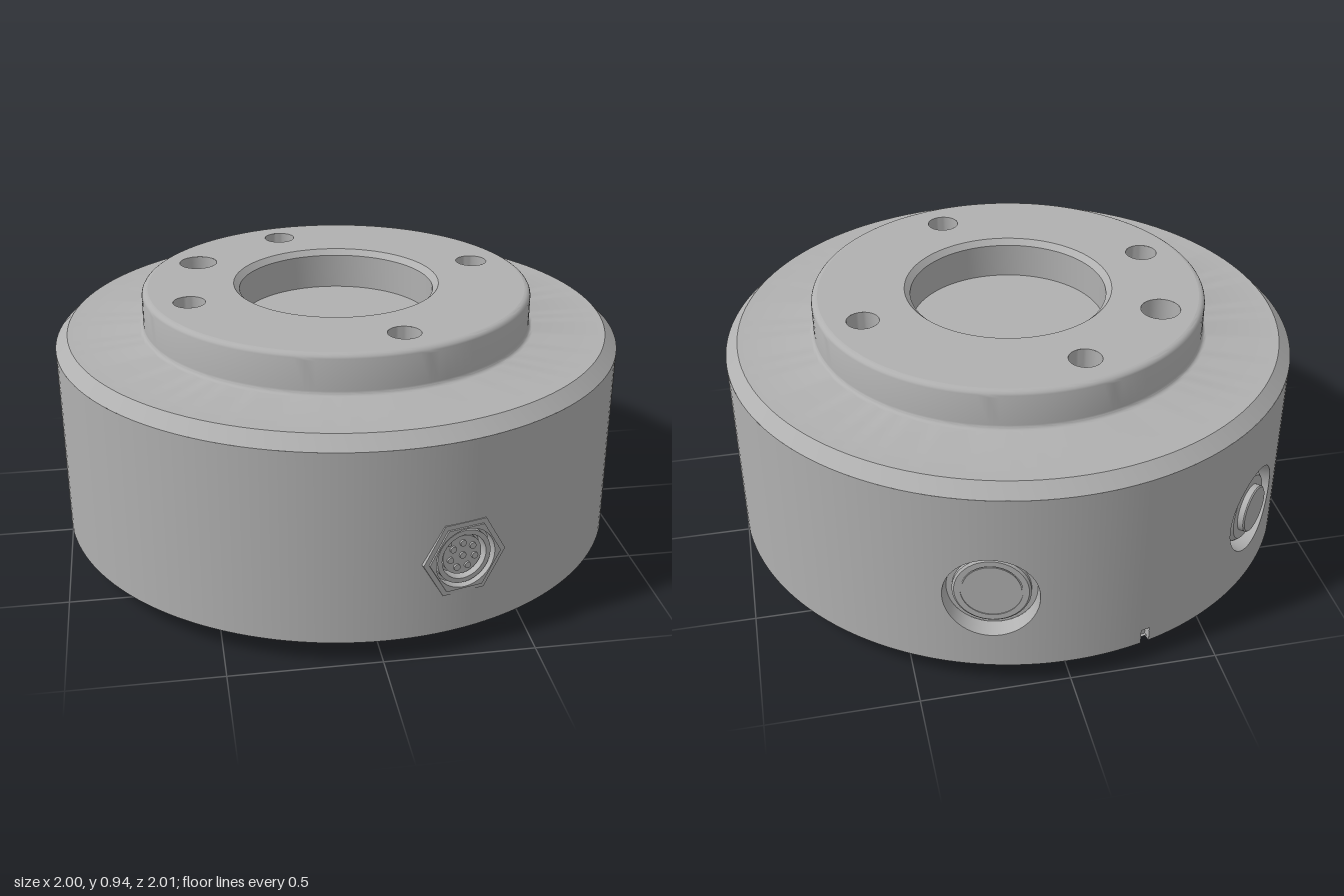
import * as THREE from 'three';
import { toCreasedNormals } from 'three/addons/utils/BufferGeometryUtils.js';

const metal = new THREE.MeshStandardMaterial({ color: 0xb0b0b0, side: THREE.DoubleSide });
metal.name = 'grey metal';

const RAD = Math.PI / 180;
const BOTTOM = 0.08, SHOULDER = 0.752, STEP = 0.795, TOP = 0.935;
const PATCH = 12; // half angle of a wall patch that holds a side opening

function add(parent, name, geometry) {
  const mesh = new THREE.Mesh(geometry, metal);
  mesh.name = name;
  parent.add(mesh);
  return mesh;
}

// Turned part with sharp edges kept; profile is a list of [radius, height]
function turned(profile, segments = 128, start = 0, length = Math.PI * 2) {
  const pts = profile.map(([r, y]) => new THREE.Vector2(r, y));
  return toCreasedNormals(new THREE.LatheGeometry(pts, segments, start, length), 0.5);
}

// Turned part whose axis points out of the side wall
const turnedOut = (profile, segments = 48) => turned(profile, segments).rotateX(Math.PI / 2);

// Quarter-round profile points
function arc(cx, cy, r, from, to, steps = 5) {
  return Array.from({ length: steps + 1 }, (_, i) => {
    const a = (from + (to - from) * i / steps) * RAD;
    return [cx + r * Math.cos(a), cy + r * Math.sin(a)];
  });
}

// Surface through closed loops of [x, y, z] points
function loft(loops, radialNormals) {
  const n = loops[0].length, pos = [], nor = [], idx = [];
  loops.forEach((loop) => loop.forEach(([x, y, z]) => { pos.push(x, y, z); nor.push(x, 0, z); }));
  for (let j = 0; j < loops.length - 1; j++) for (let i = 0; i < n; i++) {
    const a = j * n + i, b = j * n + (i + 1) % n;
    idx.push(a, a + n, b + n, a, b + n, b);
  }
  const g = new THREE.BufferGeometry();
  g.setAttribute('position', new THREE.Float32BufferAttribute(pos, 3));
  g.setIndex(idx);
  if (radialNormals) g.setAttribute('normal', new THREE.Float32BufferAttribute(nor, 3));
  else g.computeVertexNormals();
  return g;
}

// Curved wall patch with a round opening, and the pocket behind it
function sideOpening(parent, name, angle, y, radius, floorRadius, floor) {
  const group = new THREE.Group();
  group.name = name;
  group.rotation.y = angle * RAD;
  parent.add(group);
  const w = Math.sin(PATCH * RAD), lo = BOTTOM - y, hi = SHOULDER - y, n = 24;
  const corners = [[w, lo], [w, hi], [-w, hi], [-w, lo]];
  const border = [];
  corners.forEach(([x0, y0], k) => {
    const [x1, y1] = corners[(k + 1) % 4];
    for (let i = 0; i < n; i++) border.push([x0 + (x1 - x0) * i / n, y0 + (y1 - y0) * i / n]);
  });
  const circle = (r) => border.map(([bx, by]) => {
    const l = Math.hypot(bx, by);
    return [bx / l * r, by / l * r];
  });
  const rim = circle(radius);
  const loops = [];
  for (let j = 0; j <= 8; j++) {
    loops.push(border.map(([bx, by], i) => {
      const x = rim[i][0] + (bx - rim[i][0]) * j / 8;
      return [x, y + rim[i][1] + (by - rim[i][1]) * j / 8, Math.sqrt(1 - x * x)];
    }));
  }
  add(group, 'wall around opening', loft(loops, true));
  const base = circle(floorRadius).map(([x, v]) => [x, y + v, floor]);
  add(group, 'pocket wall', loft([base, loops[0]], false));
  const fitting = new THREE.Group();
  fitting.name = 'fitting';
  fitting.position.y = y;
  group.add(fitting);
  add(fitting, 'pocket floor', new THREE.CircleGeometry(floorRadius, 48)).position.z = floor;
  return fitting;
}

function wallSector(parent, name, from, to, y0 = BOTTOM, radius = 1, y1 = SHOULDER) {
  const steps = Math.max(2, Math.round((to - from) / 2.5));
  const g = new THREE.CylinderGeometry(radius, radius, y1 - y0, steps, 1, true, from * RAD, (to - from) * RAD);
  add(parent, name, g).position.y = (y0 + y1) / 2;
}

export function createModel() {
  const model = new THREE.Group();
  model.name = 'flanged sensor housing';

  // Base boss, bottom plate and thin rim
  add(model, 'base boss and plate', turned([[0, 0], [0.437, 0], [0.437, 0.09], [0.985, 0.09]]));
  add(model, 'bottom rim', turned([[0.985, 0.09], [0.985, BOTTOM], [1, BOTTOM]], 128, 195.9 * RAD, 358.2 * RAD));

  // Plain side wall between the openings
  [[27, 153], [177, 194.1], [195.9, 213], [237, 363]].forEach(([a, b]) => wallSector(model, 'side wall', a, b));

  // Alignment notch at the bottom edge
  wallSector(model, 'wall above notch', 194.1, 195.9, 0.135);
  wallSector(model, 'notch back', 194.1, 195.9, BOTTOM, 0.975, 0.135);
  const notch = new THREE.Group();
  notch.name = 'alignment notch';
  notch.rotation.y = 195 * RAD;
  model.add(notch);
  add(notch, 'notch top', new THREE.PlaneGeometry(0.0314, 0.025).rotateX(Math.PI / 2)).position.set(0, 0.135, 0.987);
  for (const s of [-1, 1]) {
    add(notch, 'notch side', new THREE.PlaneGeometry(0.025, 0.055).rotateY(-s * Math.PI / 2))
      .position.set(s * 0.0157, 0.1075, 0.987);
  }

  // Chamfered shoulder and raised flange
  add(model, 'shoulder and flange edge', turned([
    [1, SHOULDER], [0.957, STEP],
    ...arc(0.706, STEP + 0.016, 0.016, 270, 180),
    ...arc(0.668, TOP - 0.022, 0.022, 0, 90),
  ]));

  // Flange face with the bolt holes
  const holes = [[-0.143, -0.53, 0.056], [0.53, -0.143, 0.056], [0.143, 0.53, 0.056],
    [-0.53, 0.143, 0.056], [-0.475, -0.275, 0.068]];
  const face = new THREE.Shape().absarc(0, 0, 0.668, 0, Math.PI * 2);
  [[0, 0, 0.365], ...holes].forEach(([x, z, r]) => {
    face.holes.push(new THREE.Path().absarc(x, -z, r, 0, Math.PI * 2, true));
  });
  add(model, 'flange face', new THREE.ShapeGeometry(face, 64).rotateX(-Math.PI / 2)).position.y = TOP;
  holes.forEach(([x, z, r]) => {
    add(model, 'drilled hole', turned([[r, 0], [r, -0.13], [0, -0.13 - r * 0.58]], 40)).position.set(x, TOP, z);
  });
  add(model, 'centre bore', turned([[0.365, TOP], [0.345, TOP - 0.02], [0.345, 0.79], [0, 0.79]]));

  // Hexagonal cable socket at the front
  const socket = sideOpening(model, 'cable socket', 15, 0.345, 0.112, 0.112, 0.95);
  const hexNut = (r, hole, depth) => {
    const s = new THREE.Shape();
    for (let i = 0; i < 6; i++) {
      const a = i * Math.PI / 3;
      s[i ? 'lineTo' : 'moveTo'](r * Math.cos(a), r * Math.sin(a));
    }
    s.closePath();
    s.holes.push(new THREE.Path().absarc(0, 0, hole, 0, Math.PI * 2, true));
    return new THREE.ExtrudeGeometry(s, { depth, bevelEnabled: false, curveSegments: 32 });
  };
  add(socket, 'hex flange', hexNut(0.1445, 0.104, 0.035)).position.z = 0.967;
  add(socket, 'hex raised face', hexNut(0.126, 0.104, 0.006)).position.z = 1.002;
  add(socket, 'socket sleeve', turnedOut([[0.094, 0.95], [0.094, 0.998], [0.078, 0.998], [0.078, 0.95]]));
  add(socket, 'socket insert', turnedOut([[0.068, 0.95], [0.068, 0.985], [0, 0.985]]));
  add(socket, 'socket key', new THREE.BoxGeometry(0.02, 0.014, 0.04)).position.set(-0.052, 0.052, 0.972);
  for (let i = 0; i < 8; i++) {
    const a = i * Math.PI * 2 / 7 + Math.PI / 2, r = i < 7 ? 0.044 : 0;
    add(socket, 'contact pin', turnedOut([[0.011, 0.984], [0.011, 0.992], [0, 0.992]], 16))
      .position.set(r * Math.cos(a), r * Math.sin(a), 0);
  }

  // Recessed plug with a fine ring groove
  const plug = sideOpening(model, 'recessed plug', 165, 0.365, 0.156, 0.146, 0.945);
  add(plug, 'plug disc', turnedOut([[0.127, 0.945], [0.127, 0.958], [0.12, 0.964], [0.1, 0.964],
    [0.1, 0.961], [0.096, 0.961], [0.096, 0.964], [0, 0.964]]));

  // Button in a round pocket
  const button = sideOpening(model, 'push button', 225, 0.365, 0.156, 0.146, 0.945);
  add(button, 'button collar', turnedOut([[0.13, 0.945], [0.13, 0.965], [0.115, 0.98], [0.084, 0.98]]));
  add(button, 'button cap', turnedOut([[0.084, 0.97], [0.084, 1.0], [0.08, 1.004], [0, 1.004]]));

  return model;
}
